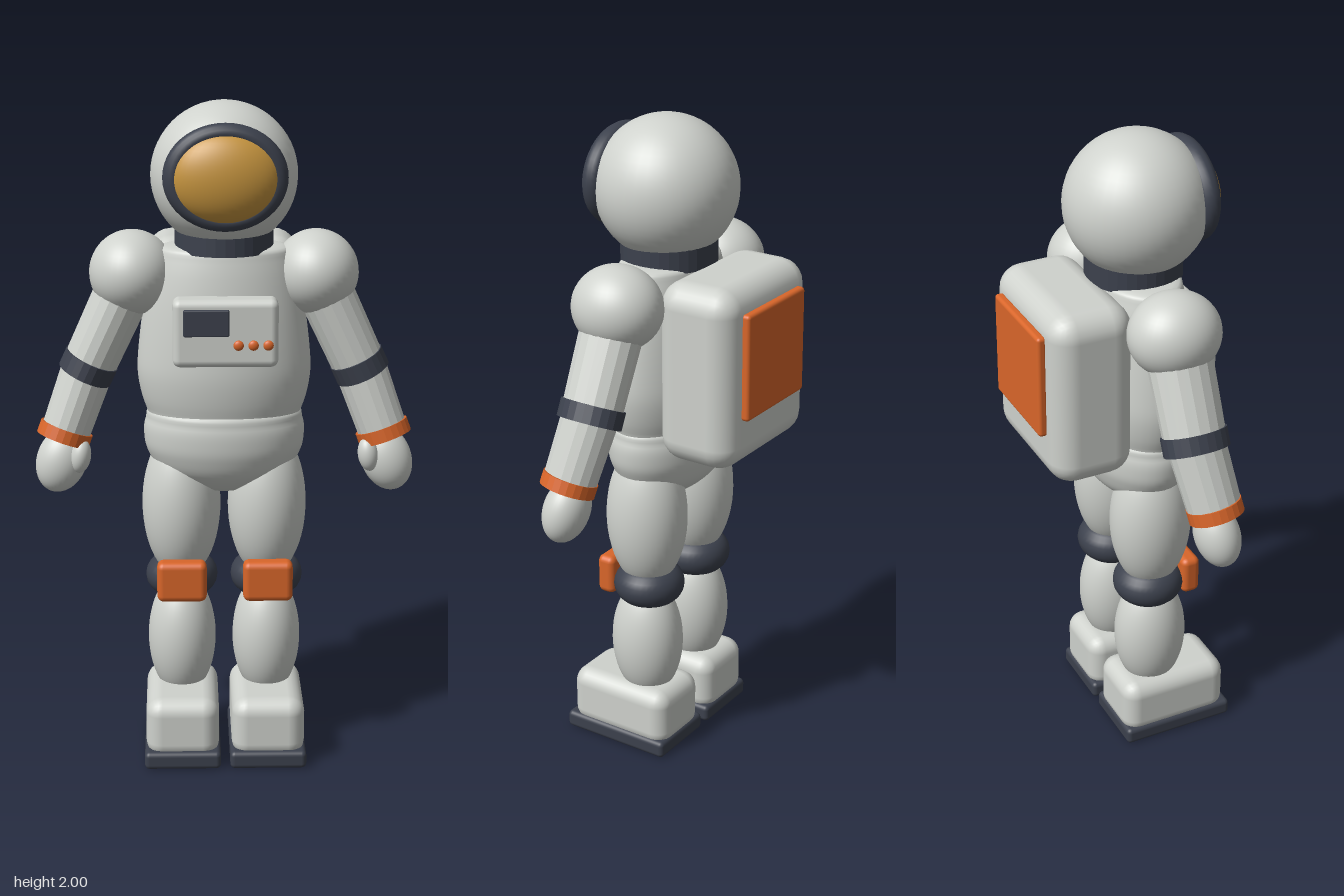
import * as THREE from 'three';
import { RoundedBoxGeometry } from 'three/addons/geometries/RoundedBoxGeometry.js';

const material = (name, color) => {
  const m = new THREE.MeshStandardMaterial({ color });
  m.name = name;
  return m;
};

export function createModel() {
  const suit = material('suitGrey', 0xcfd2cd);
  const dark = material('darkTrim', 0x3c414d);
  const orange = material('orangeTrim', 0xd9662a);
  const gold = material('goldVisor', 0xc8963f);
  const model = new THREE.Group();
  model.name = 'astronaut';

  const add = (name, geometry, mat, x, y, z, parent = model) => {
    const mesh = new THREE.Mesh(geometry, mat);
    mesh.name = name;
    mesh.position.set(x, y, z);
    parent.add(mesh);
    return mesh;
  };
  const ball = (rx, ry, rz) => new THREE.SphereGeometry(1, 40, 28).scale(rx, ry, rz);
  const box = (w, h, d, r, seg = 3) => new RoundedBoxGeometry(w, h, d, seg, r);
  // Faceted tube with an oval section
  const faceted = (rTop, rBottom, h, n, depth = 1) => {
    const g = new THREE.CylinderGeometry(rTop, rBottom, h, n).scale(1, 1, depth).toNonIndexed();
    g.computeVertexNormals();
    return g;
  };
  const lathe = (points, depth) => {
    const curve = new THREE.SplineCurve(points.map(([x, y]) => new THREE.Vector2(x, y)));
    return new THREE.LatheGeometry(curve.getPoints(40).map((p) => p.setX(Math.max(p.x, 0))), 48).scale(1, 1, depth);
  };

  // Helmet, visor and neck
  add('helmet', ball(0.215, 0.215, 0.215), suit, 0, 1.785, 0.074);
  add('visorRim', new THREE.TorusGeometry(0.147, 0.032, 16, 48).scale(1, 0.865, 1), dark, 0, 1.8, 0.232);
  add('visor', ball(0.16, 0.134, 0.077), gold, 0, 1.798, 0.232);
  add('neckRing', faceted(0.145, 0.145, 0.07, 32), dark, 0, 1.6, 0.066);

  // Body
  add('torso', lathe([[0, 1.055], [0.2, 1.06], [0.235, 1.09], [0.257, 1.18], [0.255, 1.27],
    [0.235, 1.42], [0.205, 1.54], [0.17, 1.578], [0, 1.58]], 0.64), suit, 0, 0, 0.064);
  add('pelvis', lathe([[0, 0.82], [0.1, 0.838], [0.19, 0.89], [0.23, 0.95], [0.241, 1.0],
    [0.236, 1.05], [0.205, 1.09], [0, 1.1]], 0.665), suit, 0, 0, 0.064);

  // Chest control panel
  add('chestPanel', box(0.306, 0.2, 0.085, 0.022), suit, 0, 1.353, 0.229);
  add('panelScreen', box(0.132, 0.078, 0.016, 0.004, 1), dark, -0.056, 1.388, 0.276);
  for (const x of [0.037, 0.08, 0.123]) add('panelButton', ball(0.015, 0.015, 0.009), orange, x, 1.322, 0.275);

  // Life support pack
  add('backpack', box(0.46, 0.555, 0.26, 0.075, 3), suit, 0, 1.298, -0.158);
  add('backpackPlate', box(0.31, 0.325, 0.03, 0.011), orange, 0, 1.343, -0.296);

  const up = new THREE.Vector3(0, 1, 0);
  for (const s of [1, -1]) {
    const side = s > 0 ? 'left' : 'right';
    const arm = new THREE.Group();
    const leg = new THREE.Group();
    arm.name = side + 'Arm';
    leg.name = side + 'Leg';
    model.add(arm, leg);

    // Arm joints from shoulder to hand
    const shoulder = new THREE.Vector3(0.272 * s, 1.495, 0.061);
    const elbow = new THREE.Vector3(0.405 * s, 1.21, 0.064);
    const wrist = new THREE.Vector3(0.478 * s, 1.01, 0.095);
    const aim = (mesh, from, to) => {
      mesh.quaternion.setFromUnitVectors(up, from.clone().sub(to).normalize());
      return mesh;
    };
    const segment = (name, a, b, rTop, rBottom, depth) => {
      const c = a.clone().lerp(b, 0.5);
      aim(add(name, faceted(rTop, rBottom, a.distanceTo(b), 18, depth), suit, c.x, c.y, c.z, arm), a, b);
    };
    add('shoulder', ball(0.126, 0.126, 0.139), suit, ...shoulder.toArray(), arm);
    segment('upperArm', shoulder, elbow, 0.085, 0.08, 1.17);
    segment('forearm', elbow, wrist, 0.079, 0.074, 1.1);
    aim(add('elbowRing', faceted(0.083, 0.083, 0.055, 24, 1.22), dark, ...elbow.toArray(), arm), shoulder, elbow);
    aim(add('wristBand', faceted(0.081, 0.081, 0.04, 24, 1.03), orange, ...wrist.toArray(), arm), elbow, wrist);
    aim(add('hand', ball(0.076, 0.101, 0.067), suit, 0.488 * s, 0.93, 0.098, arm), elbow, wrist);
    add('thumb', ball(0.031, 0.052, 0.035), suit, 0.43 * s, 0.952, 0.138, arm).rotation.z = 0.15 * s;

    // Leg from hip to sole
    const x = 0.13 * s;
    add('thigh', ball(0.119, 0.24, 0.127), suit, x, 0.78, 0.064, leg);
    add('kneeJoint', new THREE.TorusGeometry(0.05, 0.06, 20, 36).rotateX(Math.PI / 2), dark, x, 0.549, 0.058, leg);
    add('kneePad', box(0.15, 0.125, 0.06, 0.02), orange, x, 0.567, 0.175, leg);
    add('shin', ball(0.104, 0.2, 0.114), suit, x, 0.35, 0.066, leg);
    add('boot', box(0.222, 0.19, 0.355, 0.05), suit, x, 0.12, 0.114, leg);
    add('sole', box(0.232, 0.055, 0.368, 0.015), dark, x, 0.0275, 0.12, leg);
  }
  return model;
}
